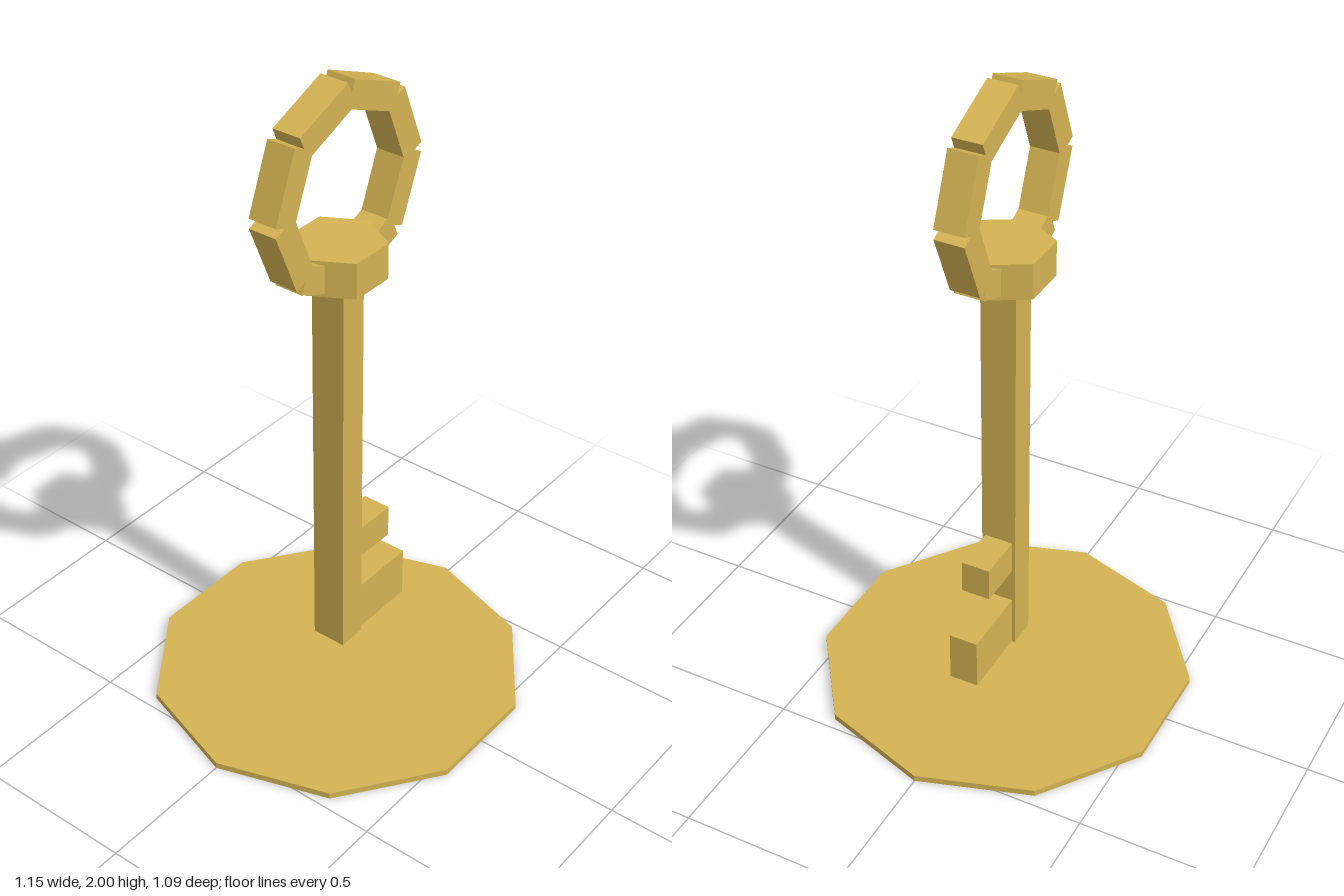
import * as THREE from 'three';

export function createModel() {
  const group = new THREE.Group();
  const brass = new THREE.MeshStandardMaterial({ color: 0xd4b353 });
  brass.name = 'brass';
  brass.flatShading = true;

  const add = (name, geometry, x, y, z = 0, parent = group) => {
    const mesh = new THREE.Mesh(geometry, brass);
    mesh.name = name;
    mesh.position.set(x, y, z);
    parent.add(mesh);
    return mesh;
  };
  // Upright prism with a corner on the +x axis
  const prism = (radius, height, sides) =>
    new THREE.CylinderGeometry(radius, radius, height, sides).rotateY(Math.PI / 2);

  // Ten-sided base disc, floating clear of the key
  add('base', prism(0.575, 0.02, 10), 0, 0.01);

  // Shaft and hexagonal collar
  add('shaft', new THREE.BoxGeometry(0.09, 1.28, 0.11), 0, 0.78);
  add('collar', prism(0.138, 0.11, 6), 0, 1.465);

  // Teeth on the key's left
  add('lowerTooth', new THREE.BoxGeometry(0.25, 0.162, 0.09), 0.145, 0.224);
  add('upperTooth', new THREE.BoxGeometry(0.17, 0.105, 0.09), 0.105, 0.472);

  // Bow: eight straight blocks overlapping at their inner corners
  const bow = new THREE.Group();
  bow.name = 'bow';
  bow.position.y = 1.69;
  group.add(bow);
  const block = new THREE.BoxGeometry(0.08, 0.21, 0.09);
  for (let i = 0; i < 8; i++) {
    const a = (i + 0.5) * Math.PI / 4;
    add('bowSegment', block, 0.252 * Math.cos(a), 0.252 * Math.sin(a), 0, bow).rotation.z = a;
  }

  return group;
}
